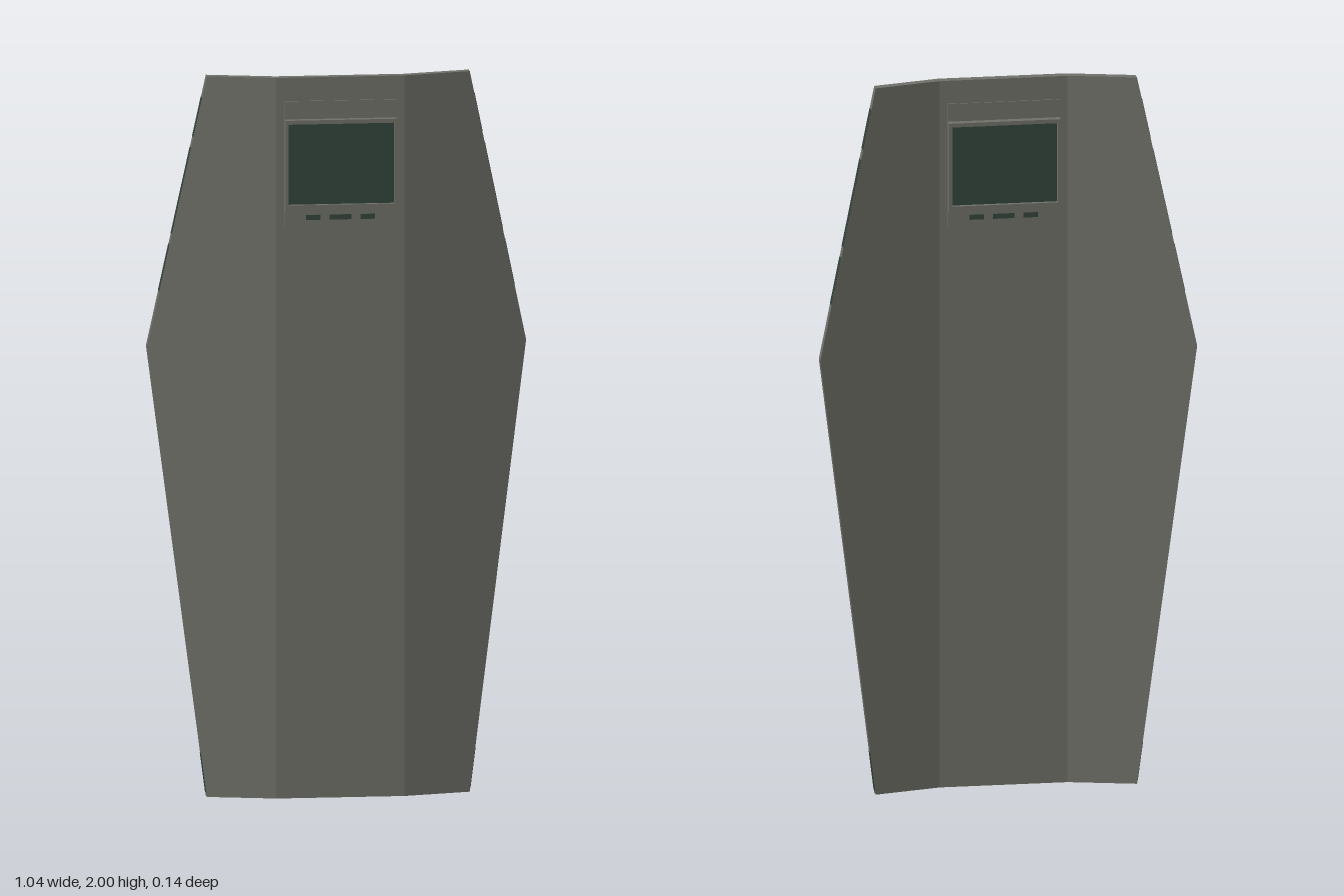
import * as THREE from 'three';

const BEND = 0.177, BACK = 0.016, THICK = 0.027;

export function createModel() {
  const shield = new THREE.Group();
  shield.name = 'shield';
  const grey = new THREE.MeshStandardMaterial({ color: 0x71716a });
  grey.name = 'grey armour';
  const green = new THREE.MeshStandardMaterial({ color: 0x33443c });
  green.name = 'dark green glass';

  const add = (name, geometry, material) => {
    const mesh = new THREE.Mesh(geometry, material);
    mesh.name = name;
    shield.add(mesh);
    return mesh;
  };
  const polygon = (points) => new THREE.Shape(points.map(([x, y]) => new THREE.Vector2(x, y)));
  const rectangle = (w, y0, y1) => polygon([[-w, y0], [w, y0], [w, y1], [-w, y1]]);

  // Slab that sweeps backwards outside the two bend lines
  const bentSlab = (points, depth, z) => {
    const geometry = new THREE.ExtrudeGeometry(polygon(points), { depth, bevelEnabled: false });
    const p = geometry.attributes.position;
    for (let i = 0; i < p.count; i++) {
      const out = Math.max(0, Math.abs(p.getX(i)) - BEND);
      p.setZ(i, p.getZ(i) + z - out * 0.258);
    }
    geometry.computeVertexNormals();
    return geometry;
  };

  // Flat centre and two angled wings
  add('centrePanel', bentSlab([[-BEND, 0], [BEND, 0], [BEND, 2], [-BEND, 2]], THICK, BACK), grey);
  const edgeX = (y) => (y < 1.245 ? 0.362 + (0.16 * y) / 1.245 : 0.522 - (0.16 * (y - 1.245)) / 0.755);
  for (const side of [1, -1]) {
    const label = side > 0 ? 'left' : 'right';
    const wing = [[BEND, 0], [0.362, 0], [0.522, 1.245], [0.362, 2], [BEND, 2]];
    add(label + 'Wing', bentSlab(wing.map(([x, y]) => [side * x, y]), THICK, BACK), grey);

    // Dark strips set into the rim
    for (const [y0, y1] of [[0.01, 0.12], [1.4, 1.53], [1.56, 1.8], [1.83, 1.94]]) {
      const strip = [[edgeX(y0) - 0.002, y0], [edgeX(y0) + 0.001, y0],
        [edgeX(y1) + 0.001, y1], [edgeX(y1) - 0.002, y1]];
      add(label + 'RimStrip', bentSlab(strip.map(([x, y]) => [side * x, y]), THICK - 0.003, BACK + 0.0015), green);
    }
  }

  // Mounting plate, slightly proud of the panel on both faces
  const plate = add('windowPlate', new THREE.BoxGeometry(0.31, 0.35, 0.035), grey);
  plate.position.set(0, 1.76, 0.03);

  // Window frame through the panel
  const frame = rectangle(0.155, 1.635, 1.885);
  frame.holes.push(rectangle(0.146, 1.65, 1.874));
  const frameGeometry = new THREE.ExtrudeGeometry(frame, { depth: 0.08, bevelEnabled: false });
  add('windowFrame', frameGeometry, grey).position.z = -0.01;

  // Glass recessed on both faces
  const glass = add('windowGlass', new THREE.BoxGeometry(0.292, 0.224, 0.056), green);
  glass.position.set(0, 1.762, 0.03);

  // Small dark inlays below the window, front and back
  for (const z of [0.048, 0.012]) {
    for (const [x, w] of [[-0.075, 0.04], [0, 0.06], [0.075, 0.04]]) {
      const inlay = add('inlay', new THREE.BoxGeometry(w, 0.014, 0.002), green);
      inlay.position.set(x, 1.612, z);
    }
  }
  return shield;
}
